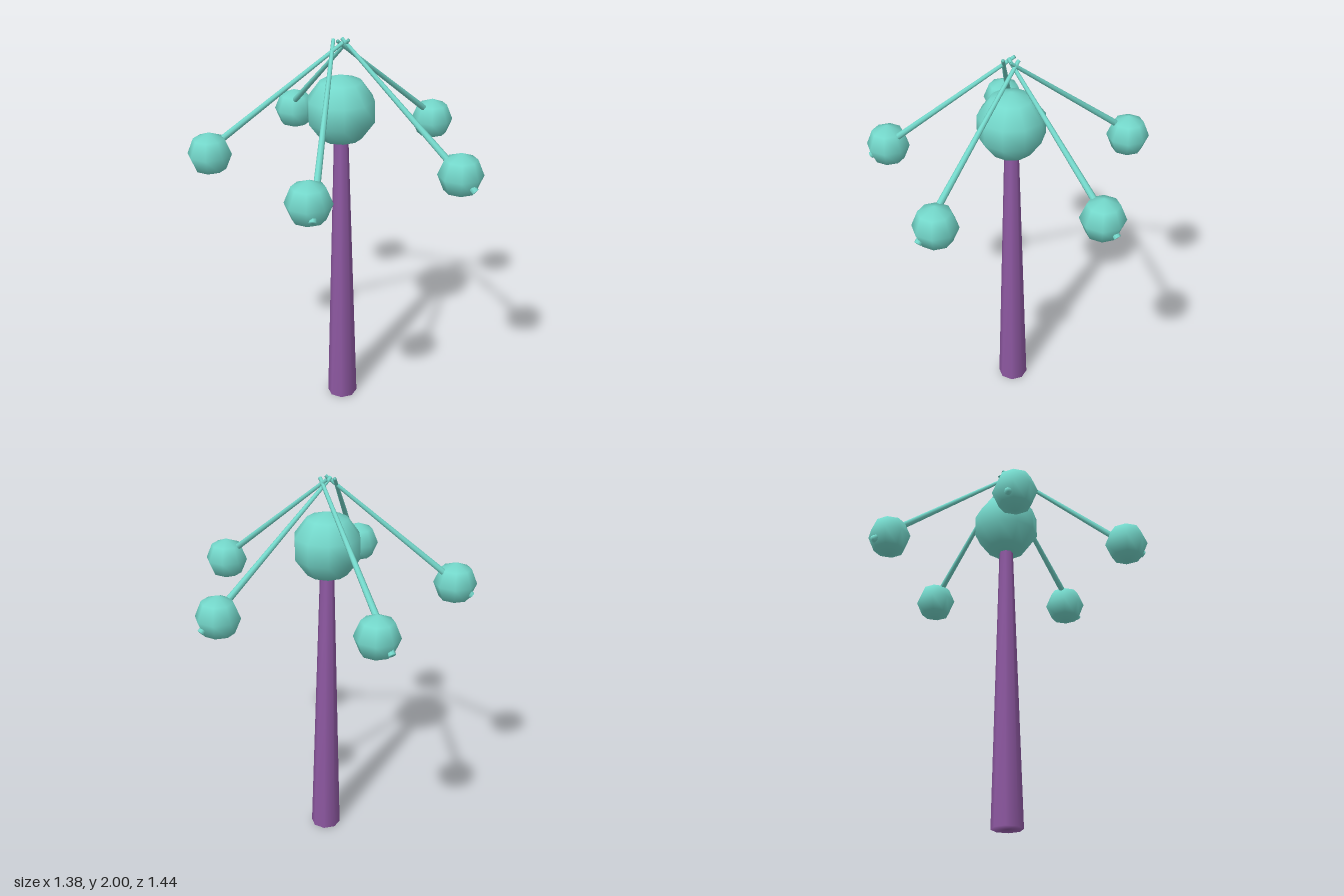
import * as THREE from 'three';
import { mergeVertices } from 'three/addons/utils/BufferGeometryUtils.js';

// Tapered pole whose side and caps share smooth normals
function smoothPole(topR, bottomR, length, sides) {
  let g = new THREE.CylinderGeometry(topR, bottomR, length, sides);
  g.deleteAttribute('normal');
  g.deleteAttribute('uv');
  g = mergeVertices(g, 1e-4);
  g.computeVertexNormals();
  return g;
}

export function createModel() {
  const model = new THREE.Group();
  const teal = new THREE.MeshStandardMaterial({ color: 0x74d8cb });
  teal.name = 'teal';
  const purple = new THREE.MeshStandardMaterial({ color: 0x8f59a3 });
  purple.name = 'purple';
  const axisX = -0.063;

  const add = (name, geometry, material, x, y, z) => {
    const mesh = new THREE.Mesh(geometry, material);
    mesh.name = name;
    mesh.position.set(x, y, z);
    model.add(mesh);
    return mesh;
  };

  // Tall tapering stem, running up into the central ball
  add('stem', smoothPole(0.033, 0.079, 1.6, 8), purple, axisX, 0.8, 0);

  // Central ball
  const core = new THREE.SphereGeometry(0.175, 10, 5).rotateY(Math.PI / 2);
  add('centralBall', core, teal, axisX, 1.65, 0);

  // Rod from its thin upper end to its thick lower end
  const addRod = (top, bottom) => {
    const a = new THREE.Vector3(...top);
    const b = new THREE.Vector3(...bottom);
    const mid = a.clone().add(b).multiplyScalar(0.5);
    const rod = add('rod', smoothPole(0.009, 0.018, a.distanceTo(b), 8), teal, mid.x, mid.y, mid.z);
    rod.quaternion.setFromUnitVectors(new THREE.Vector3(0, 1, 0), a.sub(b).normalize());
  };

  // Five outer balls in a ring
  const ball = new THREE.SphereGeometry(0.109, 8, 4);
  for (let i = 0; i < 5; i++) {
    const angle = (i * Math.PI * 2) / 5;
    add('outerBall', ball, teal, axisX + 0.641 * Math.cos(angle), 1.448, 0.641 * Math.sin(angle));
  }

  // Rods crossing at the top and piercing the outer balls
  addRod([-0.083, 1.99, 0], [0.675, 1.395, 0]);
  for (const s of [1, -1]) {
    addRod([-0.036, 1.99, -0.024 * s], [0.132, 1.395, 0.708 * s]);
    addRod([-0.078, 1.99, -0.035 * s], [-0.625, 1.395, 0.455 * s]);
  }

  return model;
}
